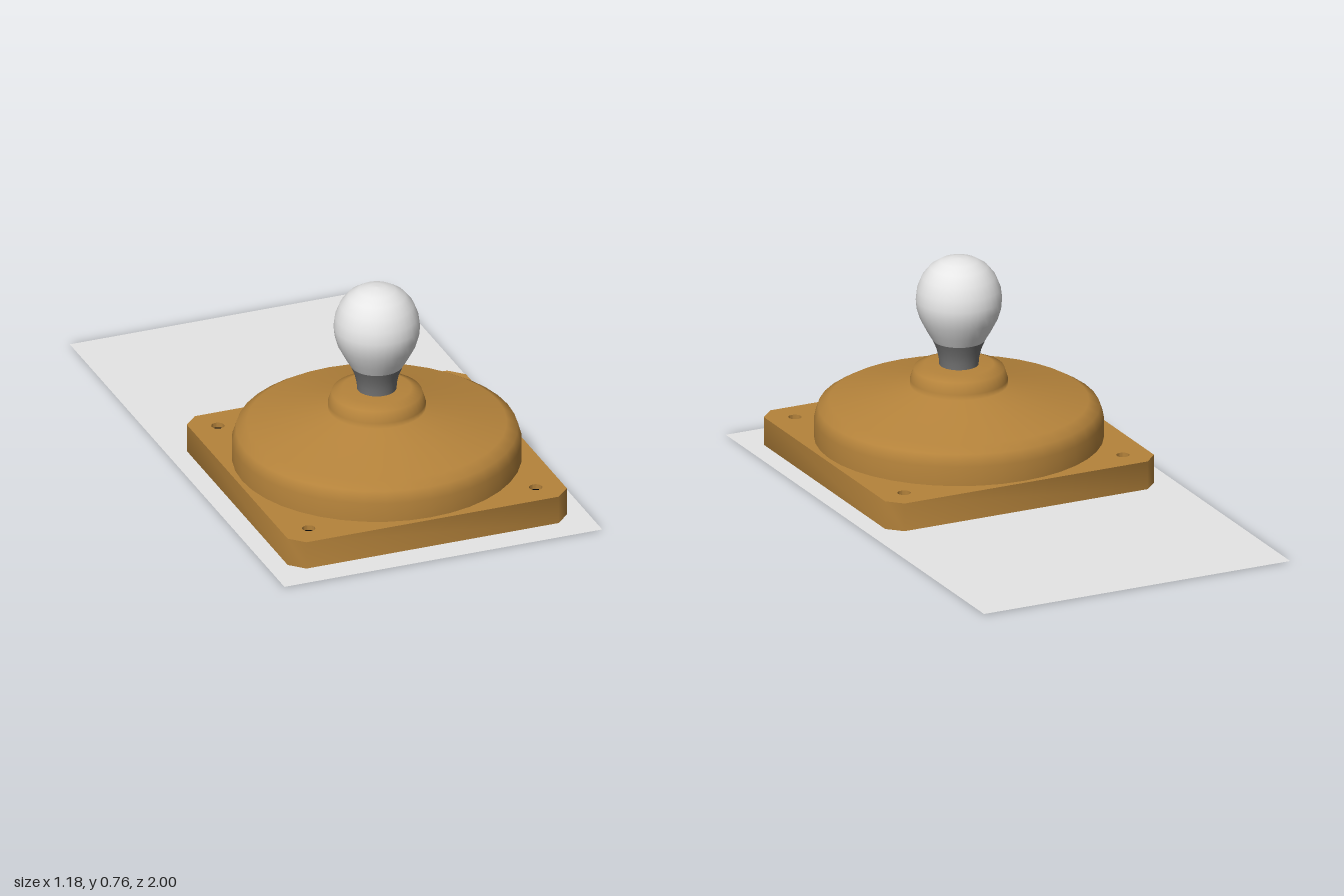
import * as THREE from 'three';
import { toCreasedNormals } from 'three/addons/utils/BufferGeometryUtils.js';

const CENTER_Z = 0.38;
const HALF = 0.52; // half width of the square base
const CUT = 0.05; // corner cut of the base
const HOLE_OFFSET = 0.423;
const HOLE_RADIUS = 0.023;

function material(name, color, side = THREE.FrontSide) {
  const m = new THREE.MeshStandardMaterial({ color, side });
  m.name = name;
  return m;
}

function mesh(name, geometry, mat) {
  const m = new THREE.Mesh(geometry, mat);
  m.name = name;
  return m;
}

// Surface of revolution from [radius, height] pairs, listed bottom to top
function lathe(points, segments) {
  return new THREE.LatheGeometry(points.map(([r, y]) => new THREE.Vector2(r, y)), segments);
}

function polygon(points) {
  return new THREE.Shape(points.map(([x, y]) => new THREE.Vector2(x, y)));
}

// Calls fn at each of the four screw positions
function eachHole(fn) {
  for (const x of [-HOLE_OFFSET, HOLE_OFFSET]) {
    for (const z of [-HOLE_OFFSET, HOLE_OFFSET]) fn(x, z);
  }
}

// Square slab with cut corners and four screw holes, lying flat
function baseGeometry(height) {
  const c = HALF - CUT;
  const shape = polygon([
    [c, -HALF], [HALF, -c], [HALF, c], [c, HALF], [-c, HALF], [-HALF, c], [-HALF, -c], [-c, -HALF],
  ]);
  eachHole((x, z) => {
    shape.holes.push(new THREE.Path().absarc(x, z, HOLE_RADIUS, 0, Math.PI * 2, true));
  });
  const geo = new THREE.ExtrudeGeometry(shape, { depth: height, bevelEnabled: false, curveSegments: 12 });
  geo.rotateX(-Math.PI / 2);
  return toCreasedNormals(geo, Math.PI / 3);
}

export function createModel() {
  const brass = material('brass', 0xb5833b);
  const pale = material('pale grey', 0xe6e6e6, THREE.DoubleSide);
  const metal = material('dark grey metal', 0x757575);
  const black = material('black', 0x030303);

  const model = new THREE.Group();
  model.name = 'lampOnSheet';

  // Flat sheet beneath everything
  const sheet = mesh('groundSheet', new THREE.PlaneGeometry(1.184, 2).rotateX(-Math.PI / 2), pale);
  sheet.position.y = 0.002;
  model.add(sheet);

  const lamp = new THREE.Group();
  lamp.name = 'lamp';
  lamp.position.z = CENTER_Z;
  model.add(lamp);

  // Dark underside showing below the front half of the base
  const c = HALF - CUT;
  const underside = polygon([[-HALF, 0], [HALF, 0], [HALF, c], [c, HALF], [-c, HALF], [-HALF, c]]);
  lamp.add(mesh('baseUnderside', new THREE.ShapeGeometry(underside).rotateX(Math.PI / 2), metal));

  // Square base with black sunken screw holes
  const base = mesh('base', baseGeometry(0.102), brass);
  base.position.y = 0.003;
  lamp.add(base);
  eachHole((x, z) => {
    const hole = mesh('screwHole', new THREE.CircleGeometry(HOLE_RADIUS, 24).rotateX(-Math.PI / 2), black);
    hole.position.set(x, 0.087, z);
    lamp.add(hole);
  });

  // Round dome with raised collar
  const dome = [
    [0.502, 0.1], [0.502, 0.175], [0.488, 0.216], [0.45, 0.239],
    [0.17, 0.298], [0.17, 0.318], [0.157, 0.358], [0.12, 0.372], [0, 0.372],
  ];
  lamp.add(mesh('dome', lathe(dome, 40), brass));

  // Bulb: metal neck and glass globe
  const neck = [[0.068, 0.365], [0.07, 0.395], [0.078, 0.43], [0.092, 0.463]];
  const globe = [
    [0.092, 0.463], [0.112, 0.497], [0.135, 0.541], [0.147, 0.58], [0.15, 0.612], [0.145, 0.652],
    [0.128, 0.695], [0.1, 0.73], [0.065, 0.752], [0.03, 0.761], [0, 0.763],
  ];
  lamp.add(mesh('bulbNeck', lathe(neck, 32), metal));
  lamp.add(mesh('bulbGlobe', lathe(globe, 32), pale));

  return model;
}
